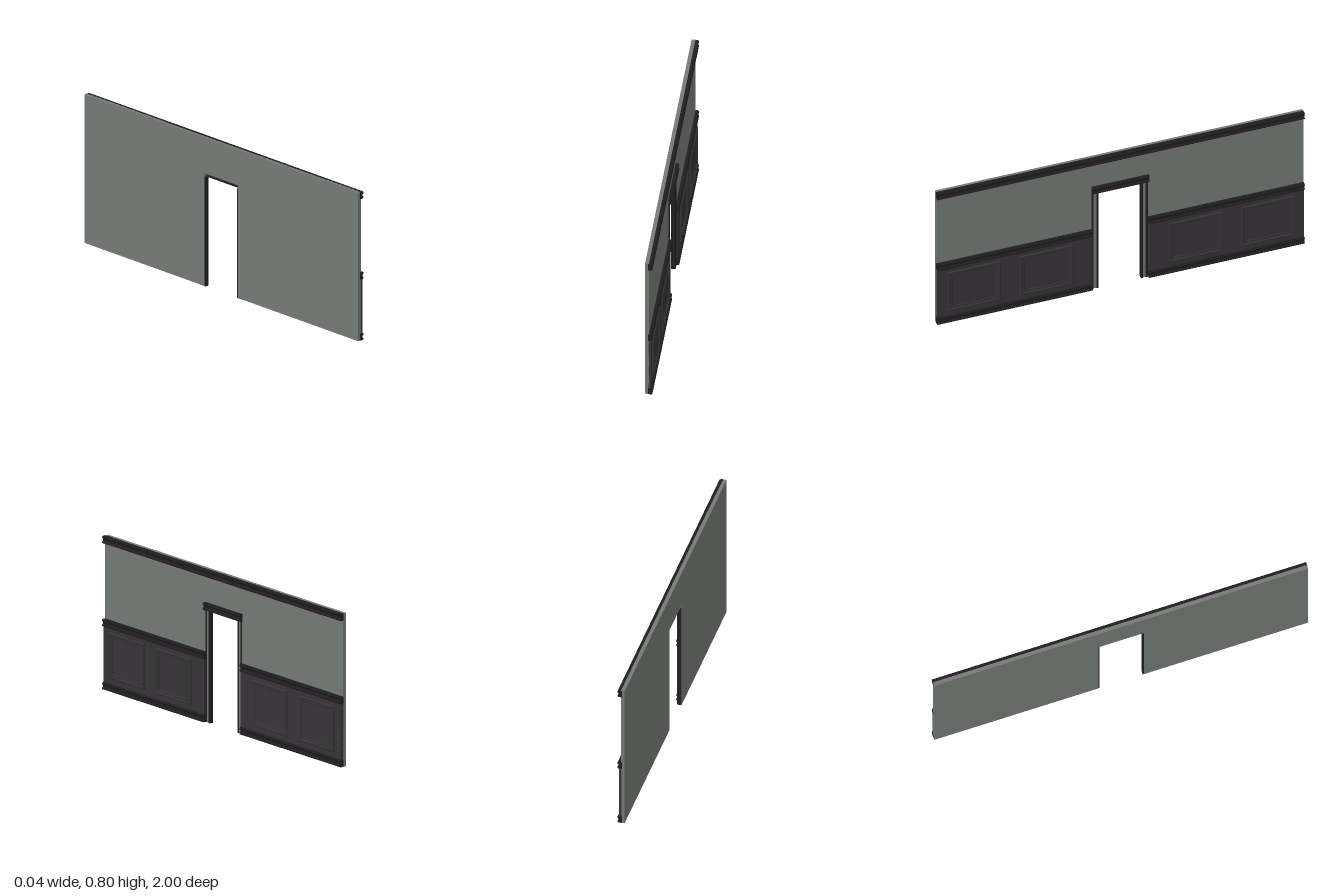
import * as THREE from 'three';

const wallMat = new THREE.MeshStandardMaterial({ color: 0x757a75 });
const panelMat = new THREE.MeshStandardMaterial({ color: 0x353335 });
const trimMat = new THREE.MeshStandardMaterial({ color: 0x201e20 });

function mesh(name, geometry, material, parent) {
  const m = new THREE.Mesh(geometry, material);
  m.name = name;
  parent.add(m);
  return m;
}

// Moulding section: x is the projection, y the width (0 to 0.04)
const section = new THREE.Shape([
  [-0.005, 0], [0.015, 0], [0.018, 0.003], [0.018, 0.007], [0.015, 0.010],
  [0.012, 0.012], [0.011, 0.018], [0.012, 0.024], [0.015, 0.026], [0.018, 0.029],
  [0.018, 0.033], [0.015, 0.036], [0.012, 0.036], [0.012, 0.039], [-0.005, 0.039],
].map(([x, y]) => new THREE.Vector2(x, y)));

const moulding = (length) =>
  new THREE.ExtrudeGeometry(section, { depth: length, bevelEnabled: false });

// Horizontal moulding from z0 to z1, lower edge at height y
function rail(name, y, z0, z1, parent) {
  mesh(name, moulding(z1 - z0), trimMat, parent).position.set(0, y, z0);
}

function rectPath(Type, w, h) {
  const p = new Type();
  p.moveTo(-w / 2, -h / 2);
  p.lineTo(w / 2, -h / 2);
  p.lineTo(w / 2, h / 2);
  p.lineTo(-w / 2, h / 2);
  p.closePath();
  return p;
}

// Rectangular border with sloped edges, facing +x
function border(w, h, band, depth, bevel) {
  const s = rectPath(THREE.Shape, w - 2 * bevel, h - 2 * bevel);
  s.holes.push(rectPath(THREE.Path, w - 2 * band + 2 * bevel, h - 2 * band + 2 * bevel));
  const g = new THREE.ExtrudeGeometry(s, {
    depth, bevelEnabled: true, bevelSize: bevel, bevelThickness: bevel, bevelSegments: 1,
  });
  return g.rotateY(Math.PI / 2);
}

export function createModel() {
  const model = new THREE.Group();
  model.name = 'panelledWall';

  // Plaster wall with a doorway
  const outline = new THREE.Shape([
    [-0.999, 0.001], [-0.122, 0.001], [-0.122, 0.61], [0.122, 0.61], [0.122, 0.001],
    [0.999, 0.001], [0.999, 0.804], [-0.999, 0.804],
  ].map(([x, y]) => new THREE.Vector2(x, y)));
  const wall = new THREE.ExtrudeGeometry(outline, { depth: 0.02, bevelEnabled: false });
  mesh('wall', wall.rotateY(Math.PI / 2), wallMat, model).position.x = -0.02;

  // Crown and door head
  rail('crownMoulding', 0.765, -1, 1, model);
  rail('doorHead', 0.589, -0.155, 0.155, model);

  for (const side of [1, -1]) {
    const half = new THREE.Group();
    half.name = side > 0 ? 'nearHalf' : 'farHalf';
    model.add(half);

    // Wainscot with base and chair rails
    const z0 = side > 0 ? 0.153 : -1;
    const z1 = side > 0 ? 1 : -0.153;
    const board = mesh('wainscot', new THREE.BoxGeometry(0.014, 0.335, 0.845), panelMat, half);
    board.position.set(0.003, 0.1685, side * 0.5765);
    rail('baseboard', 0, z0, z1, half);
    rail('chairRail', 0.33, z0, z1, half);

    // Door casing, set back into the opening
    const casing = mesh('doorCasing', moulding(0.592), trimMat, half);
    casing.rotation.x = -Math.PI / 2;
    casing.position.set(-0.014, 0, side > 0 ? 0.154 : -0.115);

    // Raised panels: outer moulding, inner step and field
    for (const z of [0.405, 0.8]) {
      const panel = new THREE.Group();
      panel.name = 'raisedPanel';
      panel.position.set(0.009, 0.188, side * z);
      half.add(panel);
      mesh('panelMoulding', border(0.29, 0.24, 0.014, 0.006, 0.003), panelMat, panel)
        .position.x = 0.002;
      mesh('panelStep', border(0.264, 0.214, 0.014, 0.003, 0.002), panelMat, panel)
        .position.x = 0.001;
      mesh('panelField', new THREE.BoxGeometry(0.004, 0.19, 0.24), panelMat, panel)
        .position.x = 0.001;
    }
  }
  return model;
}
